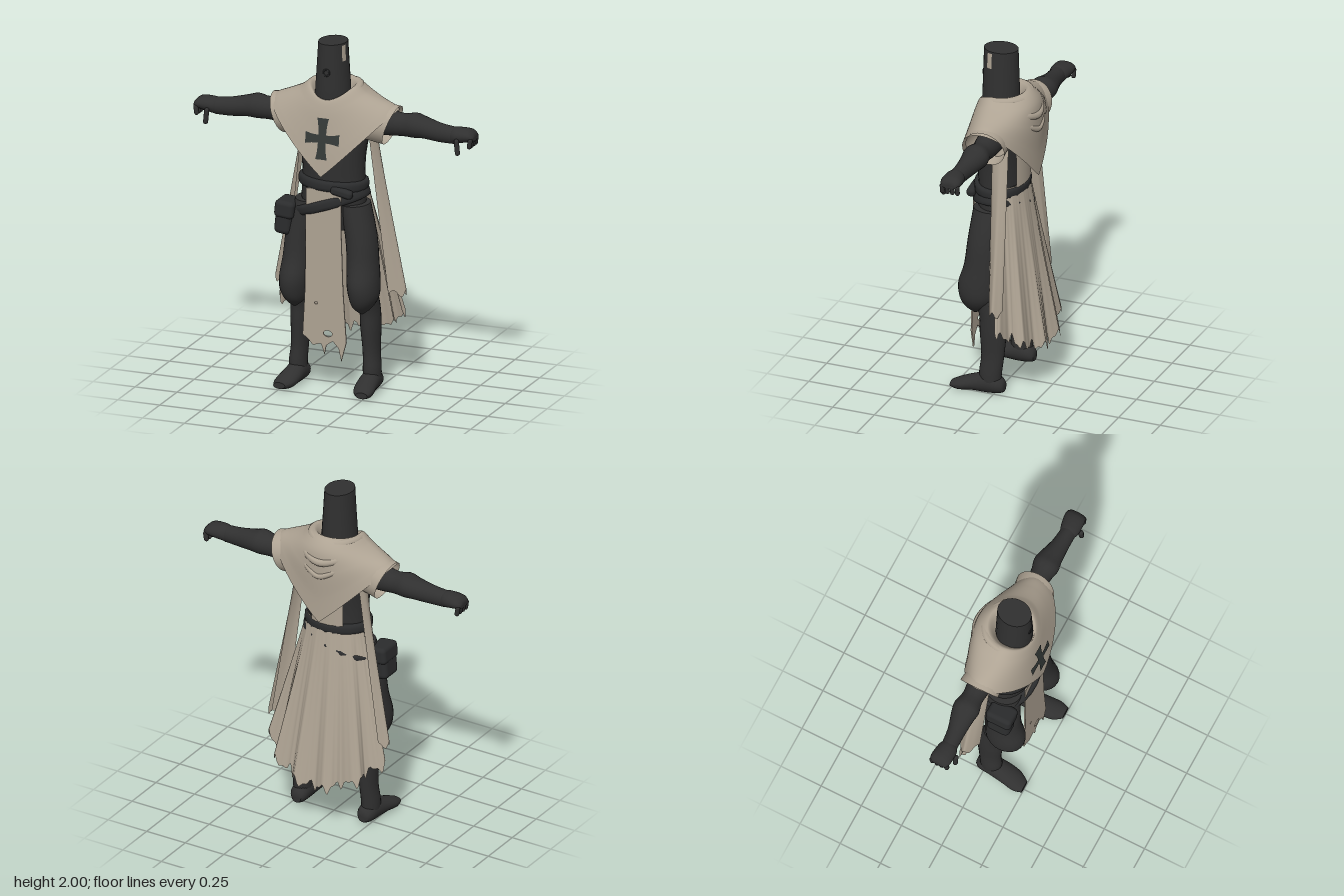
import * as THREE from 'three';
import { toCreasedNormals } from 'three/addons/utils/BufferGeometryUtils.js';
import { RoundedBoxGeometry } from 'three/addons/geometries/RoundedBoxGeometry.js';
import { ParametricGeometry } from 'three/addons/geometries/ParametricGeometry.js';

const lerp = THREE.MathUtils.lerp;

// Smooth value of a table of rows at t in 0..1
function sample(rows, t) {
  const n = rows.length - 1, f = t * n, i = Math.min(Math.floor(f), n - 1), k = f - i;
  const row = (j) => rows[Math.max(0, Math.min(n, j))];
  return rows[0].map((_, c) => {
    const [p, a, b, q] = [row(i - 1)[c], row(i)[c], row(i + 1)[c], row(i + 2)[c]];
    const m0 = (b - p) / 2, m1 = (q - a) / 2;
    return a + k * (m0 + k * (3 * (b - a) - 2 * m0 - m1 + k * (m0 + m1 - 2 * (b - a))));
  });
}

// Closed body from elliptic sections [x, y, z, radiusA, radiusB] along an axis; side -1 mirrors it
const AXES = { y: [0, 2], x: [2, 1], z: [1, 0] };
function loft(rows, axis = 'y', side = 1, capped = true, tilt = 0) {
  const N = 24, R = (rows.length - 1) * 3, [A, B] = AXES[axis], pos = [], idx = [];
  const tri = (a, b, c) => (side > 0 ? idx.push(a, b, c) : idx.push(a, c, b));
  const put = (p) => pos.push(p[0] * side, Math.max(0, p[1]), p[2]);
  for (let i = 0; i <= R; i++) {
    const r = sample(rows, i / R);
    for (let j = 0; j < N; j++) {
      const w = (j / N) * Math.PI * 2, p = r.slice(0, 3);
      p[A] += r[3] * Math.cos(w);
      p[B] += r[4] * Math.sin(w);
      p[0] += tilt * Math.sin(w);
      put(p);
      if (i === R) continue;
      const a = i * N + j, b = i * N + (j + 1) % N;
      tri(a, a + N, b);
      tri(b, a + N, b + N);
    }
  }
  if (capped) {
    put(rows[0]);
    put(rows[rows.length - 1]);
    const c0 = (R + 1) * N;
    for (let j = 0; j < N; j++) {
      const k = (j + 1) % N;
      tri(c0, j, k);
      tri(c0 + 1, R * N + k, R * N + j);
    }
  }
  const g = new THREE.BufferGeometry();
  g.setAttribute('position', new THREE.Float32BufferAttribute(pos, 3));
  g.setIndex(idx);
  return toCreasedNormals(g, 0.9);
}

export function createModel() {
  const model = new THREE.Group();
  const material = (name, color, side = THREE.FrontSide) => {
    const m = new THREE.MeshStandardMaterial({ color, side });
    m.name = name;
    return m;
  };
  const dark = material('dark cloth and steel', 0x303030);
  const leather = material('belt leather', 0x2b2c2d);
  const cloth = material('beige cloth', 0xaea393, THREE.DoubleSide);
  const emblem = material('cross grey', 0x343937, THREE.DoubleSide);
  const add = (name, geo, mat, x = 0, y = 0, z = 0) => {
    const m = new THREE.Mesh(geo, mat);
    m.name = name;
    m.position.set(x, y, z);
    model.add(m);
    return m;
  };

  // Flat-topped helmet with a vent ring and a worn patch
  add('helmet', loft([[0, 1.62, .06, .1, .095], [0, 1.7, .06, .1, .105], [0, 1.85, .06, .09, .102], [0, 2, .06, .08, .098]]), dark);
  add('helmetVent', new THREE.TorusGeometry(.018, .005, 8, 20), leather, 0, 1.84, .161);
  const patch = new THREE.CylinderGeometry(1, 1.06, .09, 6, 1, true, 1.05, .3).scale(.083, 1, .101);
  add('helmetWornPatch', patch, cloth, 0, 1.945, .06);

  add('torso', loft([[0, .93, .05, .15, .1], [0, 1.05, .05, .185, .125], [0, 1.2, .05, .18, .125], [0, 1.35, .05, .185, .133],
    [0, 1.5, .04, .205, .138], [0, 1.6, .03, .19, .12], [0, 1.68, .04, .1, .09]]), dark);

  // Hooded cowl: [side x, front z, back z, side z, front y, side y, back y] from neck to hem
  const cowlRows = [
    [.10, .15, -.04, .05, 1.66, 1.71, 1.69], [.135, .172, -.09, .05, 1.685, 1.755, 1.765],
    [.20, .195, -.155, .04, 1.62, 1.715, 1.70], [.28, .215, -.17, .03, 1.50, 1.68, 1.57],
    [.34, .232, -.165, .02, 1.37, 1.655, 1.40], [.375, .243, -.165, .02, 1.26, 1.63, 1.26]];
  const cowl = add('cowl', new ParametricGeometry((u, v, p) => {
    const [xs, zf, zb, zs, yf, ys, yb] = sample(cowlRows, v);
    const s = Math.sin(u * Math.PI * 2), c = Math.cos(u * Math.PI * 2);
    p.set(xs * s, lerp(c > 0 ? yf : yb, ys, Math.abs(s) ** (2 - .95 * v)), zs + Math.abs(c) * ((c > 0 ? zf : zb) - zs));
  }, 64, 30), cloth);

  // Folds of the lowered hood
  const fold = (name, half, radius) => {
    const pts = [...half.map(([x, y, z]) => [-x, y, z]), ...half.slice(0, -1).reverse()];
    const curve = new THREE.CatmullRomCurve3(pts.map((p) => new THREE.Vector3(...p)));
    add(name, new THREE.TubeGeometry(curve, 40, radius, 10), cloth);
  };
  fold('hoodCollarFold', [[.1, 1.685, .13], [.14, 1.725, .06], [.11, 1.735, -.05], [0, 1.725, -.11]], .025);
  fold('hoodMiddleFold', [[.19, 1.69, .05], [.16, 1.69, -.05], [.09, 1.655, -.13], [0, 1.635, -.158]], .024);
  fold('hoodLowerFold', [[.21, 1.68, .0], [.15, 1.64, -.09], [.08, 1.585, -.148], [0, 1.55, -.163]], .018);

  // Cross plates draped on the chest
  const ray = new THREE.Raycaster();
  cowl.updateMatrixWorld();
  const crossBar = (name, w, h) => {
    const g = new THREE.PlaneGeometry(w, h, 10, 10), a = g.attributes.position;
    for (let i = 0; i < a.count; i++) {
      let x = a.getX(i), y = a.getY(i);
      if (h > w) x *= .8 + .4 * (2 * Math.abs(y) / h) ** 3;
      else y *= .8 + .4 * (2 * Math.abs(x) / w) ** 3;
      y += 1.475;
      ray.set(new THREE.Vector3(x, y, 1), new THREE.Vector3(0, 0, -1));
      const hit = ray.intersectObject(cowl)[0];
      a.setXYZ(i, x, y, (hit ? hit.point.z : .21) + .005);
    }
    g.computeVertexNormals();
    add(name, g, emblem);
  };
  crossBar('crossUpright', .058, .23);
  crossBar('crossArms', .2, .055);

  // Ragged front tabard
  const outline = [[-.11, 1.17], [.1, 1.17], [.1, .9], [.11, .6], [.13, .3], [.1, .19], [.085, .26], [.05, .3], [.01, .27],
    [0, .22], [-.02, .28], [-.07, .265], [-.1, .3], [-.13, .32], [-.115, .6]];
  const tabard = new THREE.Shape(outline.map((p) => new THREE.Vector2(...p)));
  for (const [x, y, rx, ry] of [[.02, .34, .026, .018], [-.05, .51, .01, .007]]) {
    tabard.holes.push(new THREE.Path().absellipse(x, y, rx, ry, 0, Math.PI * 2));
  }
  add('frontTabard', new THREE.ExtrudeGeometry(tabard, { depth: .008, bevelEnabled: false, curveSegments: 8 }), cloth, 0, 0, .18);

  // Pleated back skirt with a torn hem, and the cloth above the belt
  add('backSkirt', new ParametricGeometry((u, v, p) => {
    const a = u * 2 - 1, th = a * 1.35, f = 1 + v * .08 * (-Math.cos(a * 17));
    const tear = .022 * Math.sin(a * 37) + .014 * Math.sin(a * 71);
    p.set(lerp(.18, .365, v) * Math.sin(th) * f, lerp(1.22, .26 + .18 * Math.abs(a) ** 1.5 + tear, v),
      lerp(.045, 0, v) - lerp(.135, .24, v) * Math.cos(th) * f);
  }, 96, 16), cloth);
  add('backPanel', new THREE.CylinderGeometry(1, 1, .35, 12, 1, true, Math.PI - .55, 1.1).scale(.195, 1, .145), cloth, 0, 1.33, .05);

  // Belts, knot and pouch
  const band = (r, d) => loft([[0, 1, 0, r - .02, d - .02], [0, 1.008, 0, r, d], [0, 1.052, 0, r, d], [0, 1.06, 0, r - .02, d - .02]]).translate(0, -1.03, 0);
  add('waistBelt', band(.2, .148), leather, 0, 1.19, .05).rotation.z = -.04;
  add('slungBelt', band(.232, .158), leather, -.015, 1.075, .05).rotation.z = .34;
  add('beltKnot', new RoundedBoxGeometry(.13, .05, .05, 3, .02), leather, .1, 1.165, .18).rotation.z = -.2;
  add('pouch', new RoundedBoxGeometry(.1, .19, .14, 3, .03), leather, -.255, .97, .11).rotation.z = -.1;
  add('pouchFlap', new RoundedBoxGeometry(.115, .1, .155, 3, .025), leather, -.248, 1.02, .11).rotation.z = -.1;

  for (const s of [1, -1]) {
    const side = s > 0 ? 'left' : 'right';
    const put = (name, ...rest) => add(side + name, ...rest);

    // Leg, shin and boot
    put('Thigh', loft([[.2, .46, .13, .008, .008], [.2, .5, .12, .055, .07], [.205, .56, .112, .082, .107], [.2, .64, .108, .09, .118],
      [.19, .75, .09, .088, .105], [.175, .9, .08, .088, .1], [.13, 1.08, .06, .085, .105]], 'y', s), dark);
    put('Shin', loft([[.22, .05, .03, .05, .06], [.22, .12, .03, .05, .065], [.213, .22, .02, .047, .066], [.208, .36, .02, .055, .077],
      [.205, .46, .025, .056, .077], [.2, .56, .06, .06, .08]], 'y', s), dark);
    put('Boot', loft([[.215, .04, -.05, .03, .03], [.217, .05, -.02, .05, .05], [.22, .055, .05, .06, .055],
      [.225, .045, .13, .045, .06], [.235, .03, .2, .035, .058], [.245, .025, .25, .018, .035]], 'z', s), dark);

    // Sleeve, arm and curled hand
    put('Sleeve', loft([[.17, 1.55, .02, .1, .1], [.27, 1.545, .02, .11, .11], [.335, 1.535, .015, .115, .112]], 'x', s, false, .04), cloth);
    put('Arm', loft([[.15, 1.55, .01, .07, .07], [.3, 1.55, .01, .07, .075], [.4, 1.545, .01, .06, .064], [.47, 1.55, .01, .075, .07],
      [.52, 1.545, .01, .068, .062], [.62, 1.53, .02, .05, .054], [.71, 1.525, .025, .045, .048]], 'x', s), dark);
    put('Hand', loft([[.7, 1.525, .025, .045, .046], [.73, 1.53, .025, .056, .046], [.8, 1.535, .02, .06, .036], [.83, 1.528, .02, .045, .02]], 'x', s), dark);
    for (let i = 0; i < 4; i++) {
      const z = -.025 + i * .03;
      put('Finger', new THREE.CapsuleGeometry(.014, .035, 4, 8), dark, s * .815, 1.5, z).rotation.z = -s * .15;
    }
    put('Thumb', new THREE.CapsuleGeometry(.015, .065, 4, 8), dark, s * .747, 1.477, .085).rotation.z = s * .1;

    // Hanging side strip of the cape
    put('SideStrip', new ParametricGeometry((u, v, p) => {
      const x = lerp(.195, .305, v) + (.015 + .07 * v) * Math.sin(Math.PI * u * .85);
      const hem = .55 + .02 * Math.sin(u * 14);
      p.set(s * x, lerp(1.5, hem, v), lerp(.03, -.07, u) - .025 * v);
    }, 16, 16), cloth);
  }
  return model;
}
